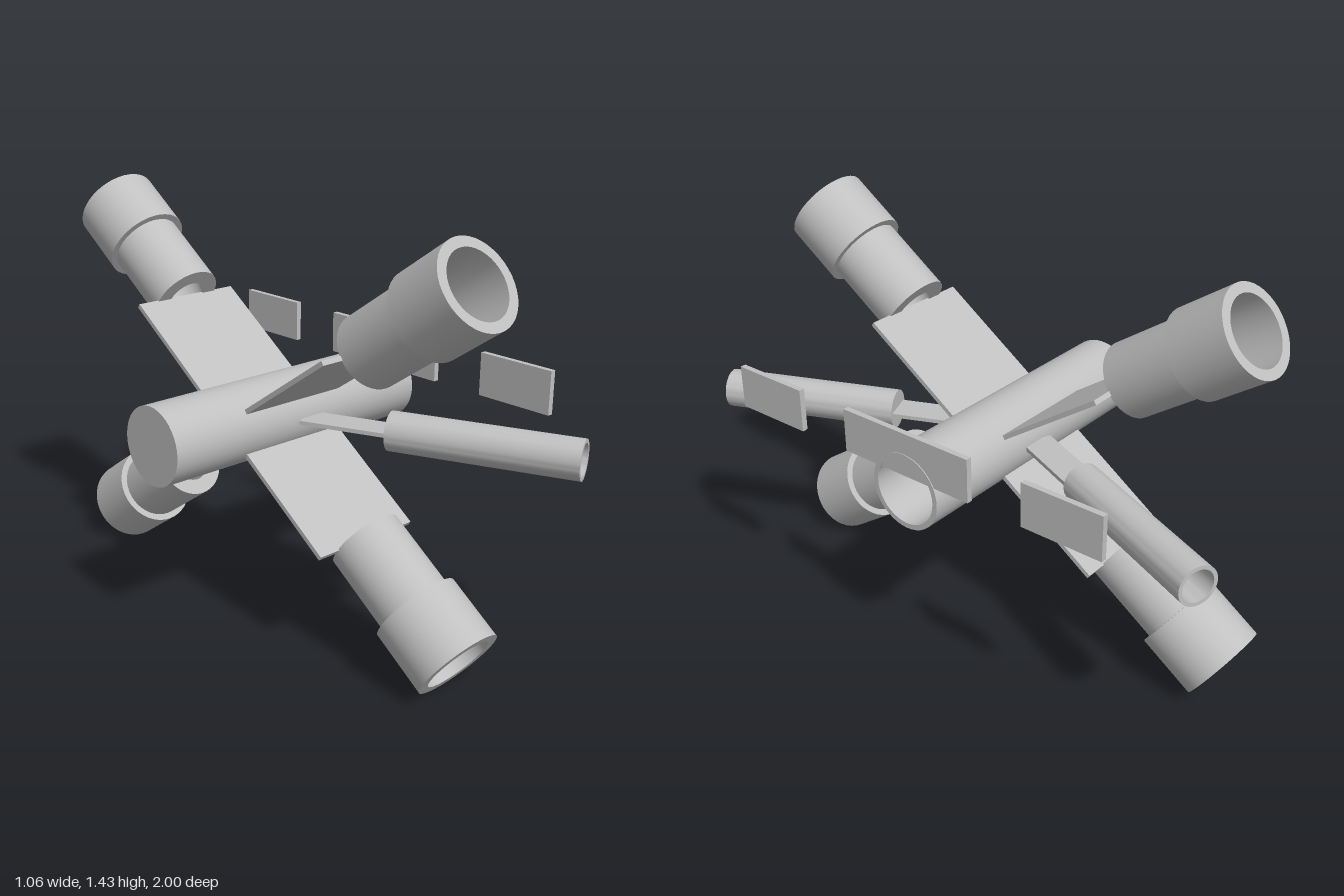
import * as THREE from 'three';
import { toCreasedNormals } from 'three/addons/utils/BufferGeometryUtils.js';

export function createModel() {
  const group = new THREE.Group();
  const grey = new THREE.MeshStandardMaterial({ color: 0xc0c0c0 });
  grey.name = 'grey';
  const CY = 0.717; // height of the hub axis
  const UP = new THREE.Vector3(0, 1, 0);

  // Turned part from [radius, distance] pairs, running along dir from origin
  function turned(name, profile, origin, dir) {
    const pts = profile.map(([r, d]) => new THREE.Vector2(r, d));
    const geo = toCreasedNormals(new THREE.LatheGeometry(pts, 40), 0.6);
    const mesh = new THREE.Mesh(geo, grey);
    mesh.name = name;
    mesh.position.copy(origin);
    mesh.quaternion.setFromUnitVectors(UP, dir);
    group.add(mesh);
  }

  function box(name, w, h, d, x, y, z) {
    const mesh = new THREE.Mesh(new THREE.BoxGeometry(w, h, d), grey);
    mesh.name = name;
    mesh.position.set(x, y, z);
    group.add(mesh);
    return mesh;
  }

  // Central body: long tube, closed at the -x end and open at the +x end
  turned('body', [[0, 0], [0.133, 0], [0.133, 1.06], [0.115, 1.06], [0.115, 0.02], [0, 0.02]],
    new THREE.Vector3(-0.53, CY, 0), new THREE.Vector3(1, 0, 0));

  // Four diagonal wings, each carrying a stepped hollow pod
  const tilt = THREE.MathUtils.degToRad(34.6);
  const podProfile = [[0.07, 0.555], [0.125, 0.555], [0.125, 0.83], [0.148, 0.83],
    [0.148, 1.048], [0.114, 1.048], [0.114, 0.68], [0.07, 0.555]];
  for (const sz of [1, -1]) {
    for (const sy of [1, -1]) {
      const dir = new THREE.Vector3(0, sy * Math.sin(tilt), sz * Math.cos(tilt));
      turned('pod', podProfile, new THREE.Vector3(-0.03, CY, 0), dir);
      const mid = dir.clone().multiplyScalar(0.3425);
      const wing = box('wing', 0.41, 0.016, 0.435, -0.03, CY + mid.y, mid.z);
      wing.rotation.x = -sy * sz * tilt;
    }
  }

  // Two swept side tubes on flat struts
  const sweep = THREE.MathUtils.degToRad(23.4);
  for (const sz of [1, -1]) {
    const dir = new THREE.Vector3(Math.sin(sweep), 0, sz * Math.cos(sweep));
    const start = new THREE.Vector3(0.138, CY, sz * 0.397);
    turned('sideTube', [[0, 0], [0.067, 0], [0.067, 0.628], [0.054, 0.628], [0.054, 0.03], [0, 0.03]],
      start, dir);
    const mid = start.clone().addScaledVector(dir, -0.145);
    const strut = box('strut', 0.11, 0.014, 0.31, mid.x, CY, mid.z);
    strut.rotation.y = sz * sweep;
  }

  // Row of three upright panels at the +x end
  for (const [z, length] of [[0, 0.51], [0.6, 0.287], [-0.6, 0.287]]) {
    box('panel', 0.02, 0.15, length, 0.517, 0.848, z);
  }

  return group;
}
